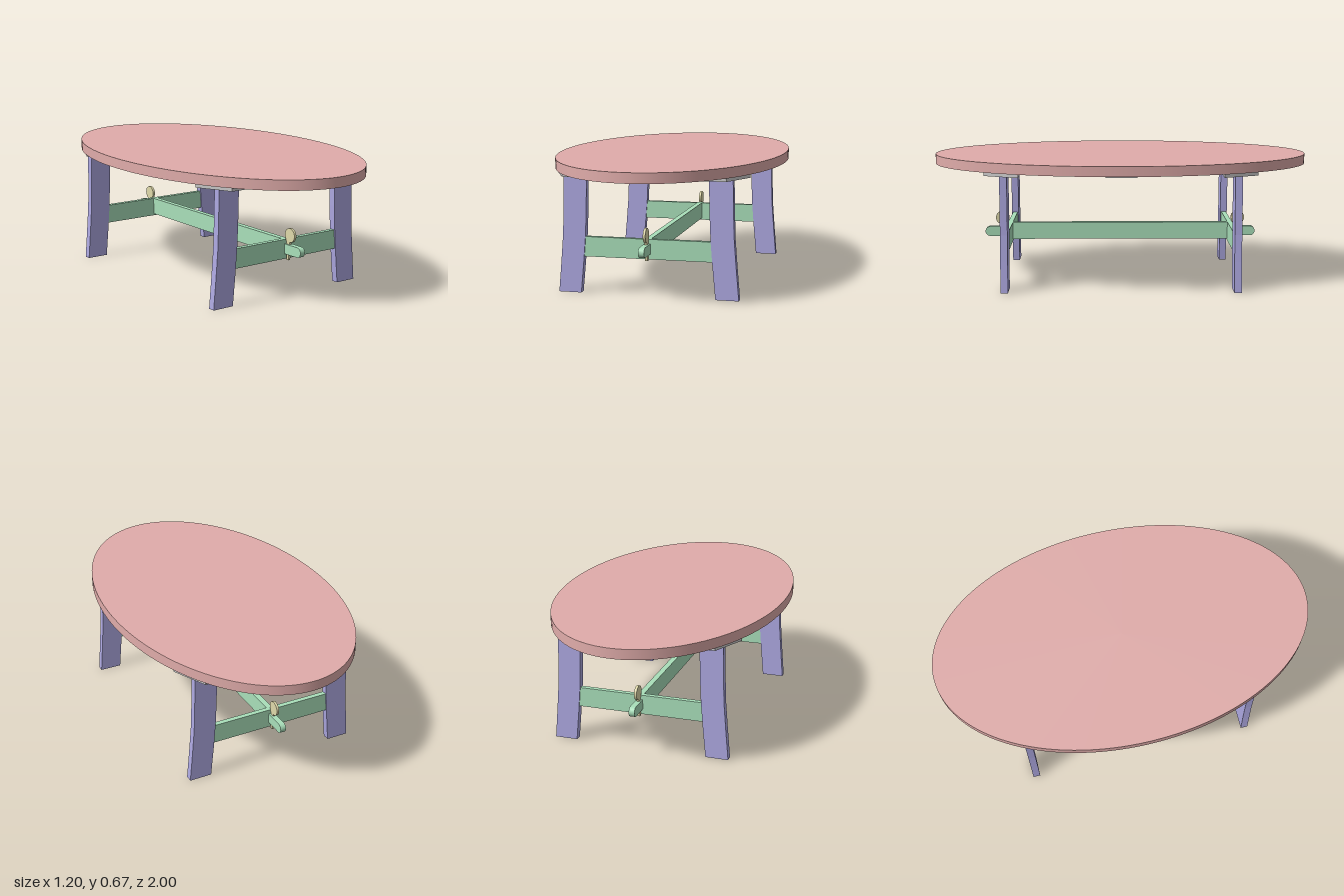
import * as THREE from 'three';

const mat = (color) => new THREE.MeshStandardMaterial({ color });
const topMat = mat(0xe0acaa);
const legMat = mat(0xaea9e2);
const railMat = mat(0xa9dfba);
const keyMat = mat(0xdfd9aa);
const cleatMat = mat(0xcccccc);

const polygon = (pts) => new THREE.Shape(pts.map(([x, y]) => new THREE.Vector2(x, y)));

// Extrudes a shape, centred on its own thickness
function slab(shape, thickness) {
  const geo = new THREE.ExtrudeGeometry(shape, { depth: thickness, bevelEnabled: false, curveSegments: 16 });
  return geo.translate(0, 0, -thickness / 2);
}

// Shape drawn in (z, y), extruded across x
const sideSlab = (shape, thickness) => slab(shape, thickness).rotateY(-Math.PI / 2);

function add(parent, name, geo, material) {
  const mesh = new THREE.Mesh(geo, material);
  mesh.name = name;
  parent.add(mesh);
  return mesh;
}

// Splayed plank leg, gently curved in its lower half
function legGeometry(side) {
  const shape = polygon([
    [0.348, 0], [0.466, 0], [0.452, 0.16], [0.441, 0.3], [0.437, 0.42], [0.433, 0.605],
    [0.313, 0.605], [0.317, 0.42], [0.322, 0.3], [0.333, 0.16],
  ].map(([x, y]) => [x * side, y]));
  return slab(shape, 0.038).translate(0, 0, 0.602);
}

// Wedge key: tapered shank with a round head
function keyGeometry() {
  const s = new THREE.Shape();
  s.moveTo(0.621, 0.183);
  s.lineTo(0.636, 0.183);
  s.lineTo(0.645, 0.278);
  s.absarc(0.645, 0.315, 0.037, -Math.PI / 2, Math.PI * 1.18, false);
  s.lineTo(0.621, 0.28);
  return sideSlab(s, 0.013);
}

// Long rail with a rounded through-tenon at both ends
function railGeometry() {
  const s = new THREE.Shape();
  const r = 0.026, y = 0.241, end = 0.714;
  s.moveTo(-0.59, 0.198);
  s.lineTo(0.59, 0.198);
  s.lineTo(0.59, y - r);
  s.absarc(end, y, r, -Math.PI / 2, Math.PI / 2, false);
  s.lineTo(0.59, y + r);
  s.lineTo(0.59, 0.29);
  s.lineTo(-0.59, 0.29);
  s.lineTo(-0.59, y + r);
  s.absarc(-end, y, r, Math.PI / 2, Math.PI * 1.5, false);
  s.lineTo(-0.59, y - r);
  return sideSlab(s, 0.03);
}

export function createModel() {
  const table = new THREE.Group();
  table.name = 'ovalTable';

  // Oval top
  const top = new THREE.CylinderGeometry(1, 1, 0.052, 128).scale(0.6, 1, 1).translate(0, 0.648, 0);
  add(table, 'tableTop', top, topMat);

  // Middle cleat and long rail
  add(table, 'middleCleat', new THREE.BoxGeometry(1, 0.02, 0.16).translate(0, 0.613, 0), cleatMat);
  add(table, 'longRail', railGeometry(), railMat);

  // Trestle at each end
  for (const [name, turn] of [['frontTrestle', 0], ['backTrestle', Math.PI]]) {
    const end = new THREE.Group();
    end.name = name;
    end.rotation.y = turn;
    table.add(end);

    const cleat = polygon([[-0.5, 0.52], [0.5, 0.52], [0.415, 0.7], [-0.415, 0.7]]);
    add(end, 'endCleat', slab(cleat, 0.02).rotateX(Math.PI / 2).translate(0, 0.613, 0), cleatMat);

    add(end, 'leftLeg', legGeometry(1), legMat);
    add(end, 'rightLeg', legGeometry(-1), legMat);

    // Cross rail fitted to the slope of the legs
    const cross = polygon([[-0.335, 0.188], [0.335, 0.188], [0.328, 0.29], [-0.328, 0.29]]);
    add(end, 'crossRail', slab(cross, 0.026).translate(0, 0, 0.602), railMat);

    add(end, 'wedgeKey', keyGeometry(), keyMat);
  }
  return table;
}
